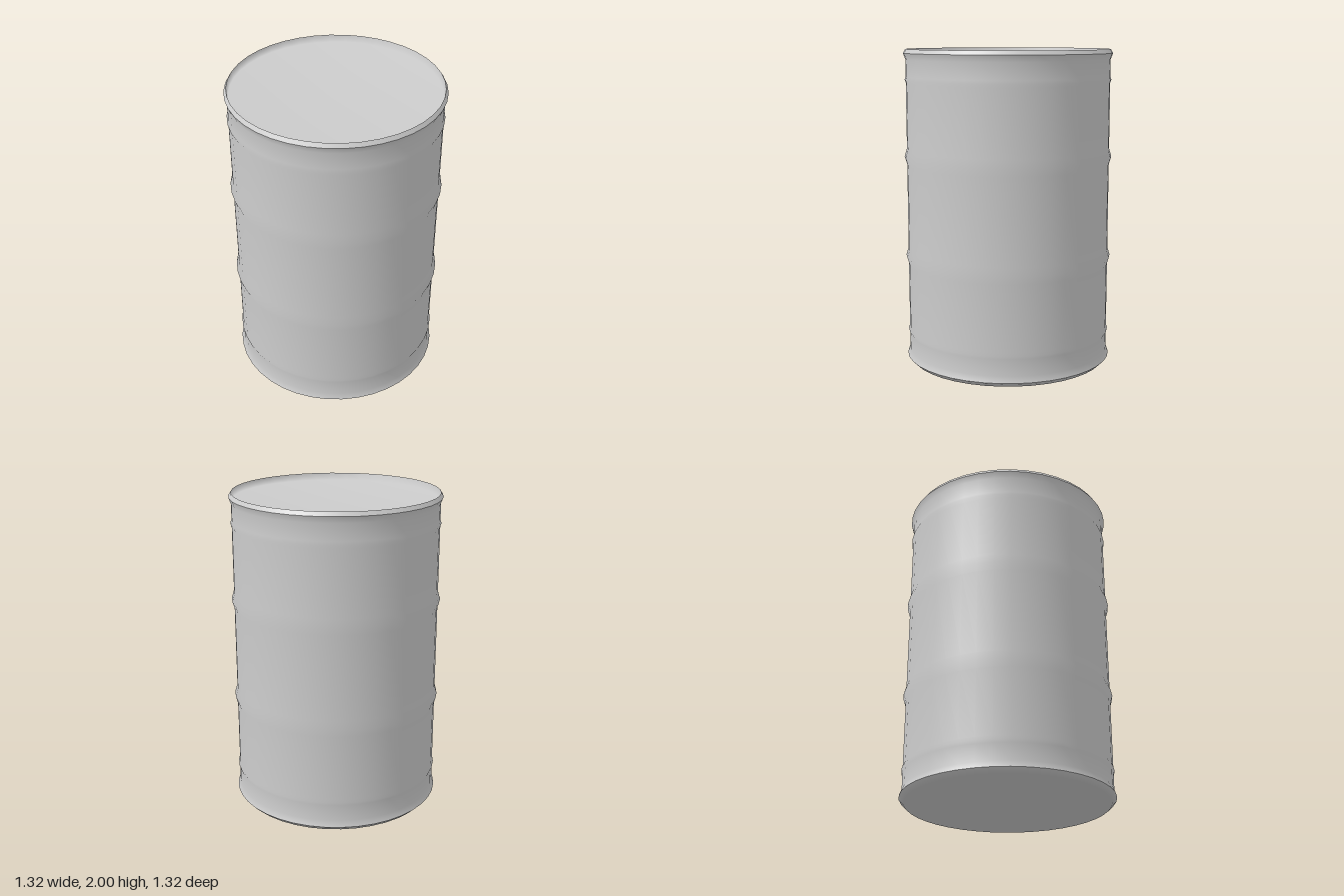
import * as THREE from 'three';

const SIDES = 40;

// Revolved surface from [radius, height] pairs, running from the base upward
function turned(name, profile, material) {
  const points = profile.map(([r, y]) => new THREE.Vector2(r, y));
  const mesh = new THREE.Mesh(new THREE.LatheGeometry(points, SIDES), material);
  mesh.name = name;
  return mesh;
}

// A rolled rib: wall, crest, wall
const rib = (y, crest, half) => [[0.645, y - half], [crest, y], [0.645, y + half]];

export function createModel() {
  const steel = new THREE.MeshStandardMaterial({ color: 0xcccccc });
  steel.name = 'grey steel';

  const drum = new THREE.Group();
  drum.name = 'drum';

  // Flat base with a bevelled edge
  drum.add(turned('base', [[0, 0], [0.63, 0], [0.66, 0.03]], steel));

  // Side wall with two thin and two broad ribs, flaring at both ends
  drum.add(turned('wall', [
    [0.66, 0.03],
    [0.645, 0.07],
    ...rib(0.195, 0.652, 0.02),
    ...rib(0.685, 0.66, 0.05),
    ...rib(1.325, 0.66, 0.05),
    ...rib(1.81, 0.652, 0.02),
    [0.645, 1.935],
    [0.66, 1.975],
  ], steel));

  // Bevelled top rim
  drum.add(turned('rim', [[0.66, 1.975], [0.645, 2]], steel));

  // Sunken lid, blended into its low surrounding wall
  drum.add(turned('lid', [[0.645, 2], [0.635, 1.955], [0, 1.955]], steel));

  return drum;
}
